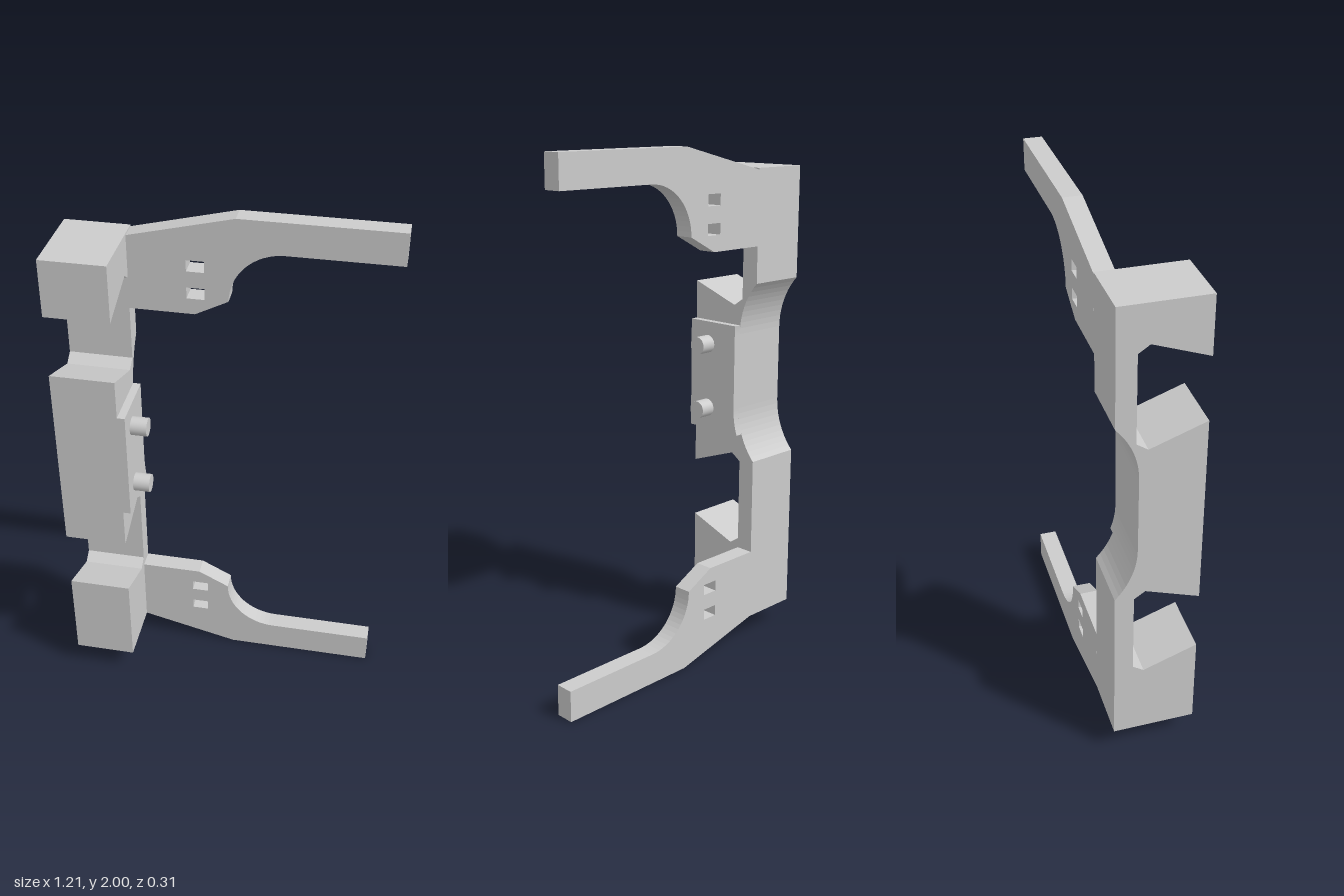
import * as THREE from 'three';

const BACK = -0.157, FRONT = 0.158, WEB = -0.086;
const flat = new THREE.MeshStandardMaterial({ color: 0xcccccc, flatShading: true });
const smooth = new THREE.MeshStandardMaterial({ color: 0xcccccc });

const toVectors = (pts) => pts.map(([a, b]) => new THREE.Vector2(a, b));

function addMesh(group, name, geometry, material = flat) {
  const mesh = new THREE.Mesh(geometry, material);
  mesh.name = name;
  group.add(mesh);
  return mesh;
}

// Points on a circular arc, angles in radians
function arc(cx, cy, r, a0, a1, n) {
  return Array.from({ length: n + 1 }, (_, i) => {
    const a = a0 + ((a1 - a0) * i) / n;
    return [cx + r * Math.cos(a), cy + r * Math.sin(a)];
  });
}

// Extrude a (z, y) side profile between two x positions
function extrudeAlongX(pts, x0, x1) {
  const geo = new THREE.ExtrudeGeometry(new THREE.Shape(toVectors(pts)), { depth: x1 - x0, bevelEnabled: false });
  return geo.rotateY(-Math.PI / 2).translate(x1, 0, 0);
}

// Relieved back of the column: two arcs joined by a flat, running downwards
const R = 0.303, FLAT = -0.075;
const backRelief = (top, bottom) => [
  ...arc(FLAT - R, 1.27, R, Math.asin((top - 1.27) / R), 0, 10),
  ...arc(FLAT - R, 0.97, R, 0, -Math.asin((0.97 - bottom) / R), 10),
];

// Arm outline; side = 0 for the lower arm, 1 for its mirrored upper twin
function armGeometry(side) {
  const flip = ([x, y]) => [x, side ? 2 - y : y];
  const outline = [
    [-0.365, 0.095], [0.02, 0], [0.6, 0], [0.6, 0.121],
    ...arc(0.192, 0.317, 0.196, -Math.PI / 2, -Math.PI, 16),
    [-0.125, 0.38], [-0.365, 0.38],
  ];
  const shape = new THREE.Shape(toVectors(outline.map(flip)));
  for (const y of [0.17, 0.276]) {
    const hole = [[-0.155, y], [-0.155, y + 0.043], [-0.09, y + 0.043], [-0.09, y]];
    shape.holes.push(new THREE.Path(toVectors(hole.map(flip))));
  }
  return new THREE.ExtrudeGeometry(shape, { depth: WEB - BACK, bevelEnabled: false }).translate(0, 0, BACK);
}

export function createModel() {
  const model = new THREE.Group();
  model.name = 'bracket';

  // Column with two dovetail notches and a relieved back
  const notch = (y0, y1) => [
    [FRONT, y0], [-0.045, y0 - 0.074], [WEB, y0 - 0.046],
    [WEB, y1 + 0.046], [-0.045, y1 + 0.074], [FRONT, y1],
  ];
  const column = [
    [BACK, 0.095], [FRONT, 0.095],
    ...notch(0.466, 0.705),
    ...notch(1.456, 1.695),
    [FRONT, 1.911], [BACK, 1.911],
    ...backRelief(1.477, 0.763),
  ];
  addMesh(model, 'column', extrudeAlongX(column, -0.605, -0.365));

  // Raised pad on the inner side of the column
  const pad = [[FRONT, 0.865], [FRONT, 1.305], ...backRelief(1.305, 0.865)];
  addMesh(model, 'pad', extrudeAlongX(pad, -0.365, -0.336));

  // Pegs standing on the pad
  for (const y of [0.953, 1.215]) {
    const peg = addMesh(model, 'peg', new THREE.CylinderGeometry(0.035, 0.035, 0.062, 32), smooth);
    peg.rotation.z = -Math.PI / 2;
    peg.position.set(-0.305, y, 0.068);
  }

  // Arms
  addMesh(model, 'lowerArm', armGeometry(0));
  addMesh(model, 'upperArm', armGeometry(1));

  return model;
}
